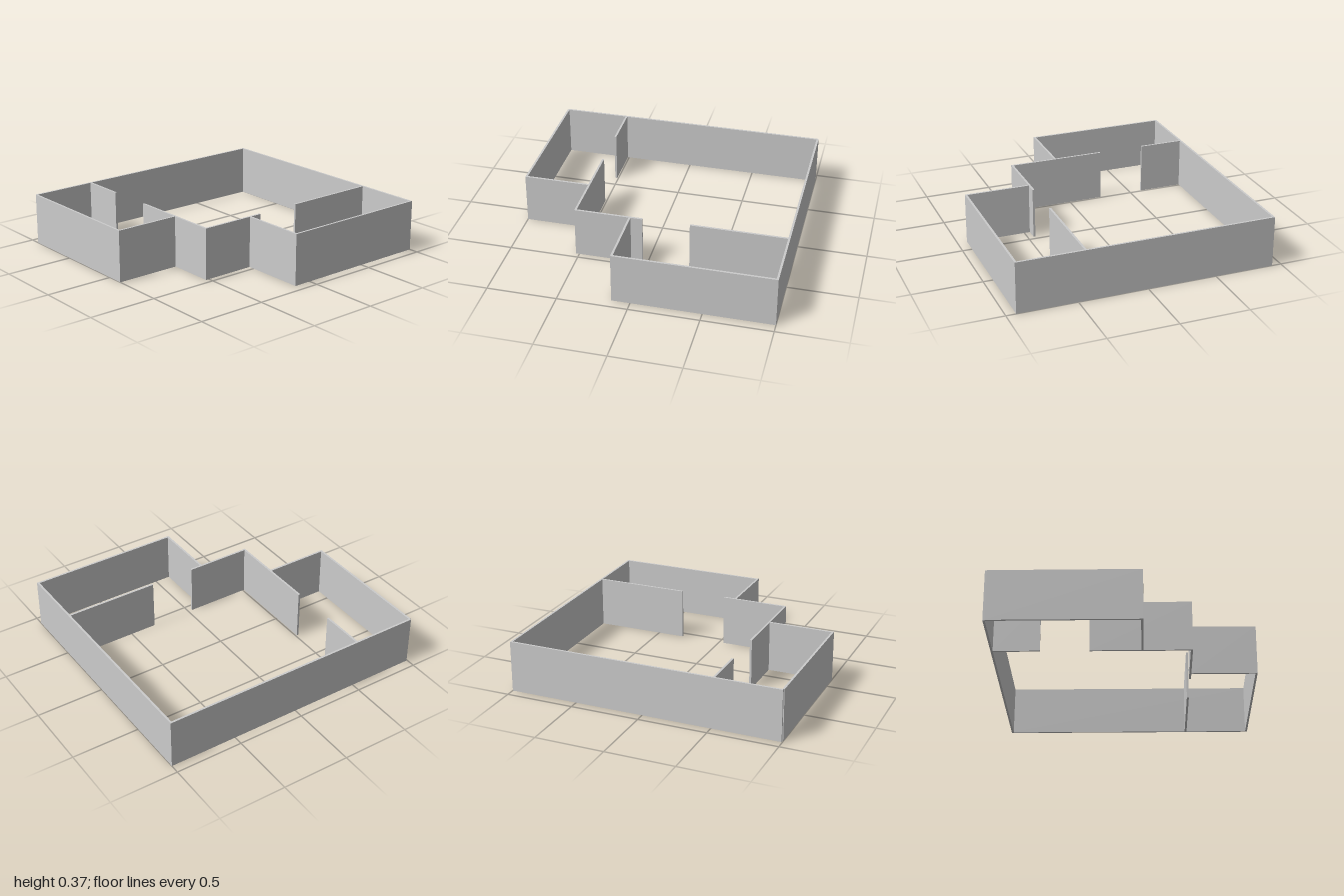
import * as THREE from 'three';

const HEIGHT = 0.37;

// Each wall: name, x from, x to, z from, z to
const WALLS = [
  ['backWall', -0.932, 0.93, -1, -0.985],
  ['rightWall', -0.932, -0.917, -0.985, 0.994],
  ['frontWall', -0.917, 0.12, 0.985, 1],
  ['frontRoomSideWall', 0.105, 0.12, 0.525, 0.985],
  ['frontPartitionShort', -0.917, -0.593, 0.51, 0.525],
  ['frontPartitionLong', -0.253, 0.458, 0.51, 0.525],
  ['innerCornerWall', 0.443, 0.458, 0.034, 0.51],
  ['sideRoomFrontWall', 0.458, 0.93, 0.117, 0.132],
  ['leftWall', 0.915, 0.93, -0.985, 0.117],
  ['sidePartition', 0.437, 0.452, -0.985, -0.303],
];

export function createModel() {
  const group = new THREE.Group();
  group.name = 'floorPlanWalls';
  const material = new THREE.MeshStandardMaterial({ color: 0xcccccc });

  // Upright slabs standing on the ground, with door gaps between partitions
  for (const [name, x0, x1, z0, z1] of WALLS) {
    const wall = new THREE.Mesh(new THREE.BoxGeometry(x1 - x0, HEIGHT, z1 - z0), material);
    wall.name = name;
    wall.position.set((x0 + x1) / 2, HEIGHT / 2, (z0 + z1) / 2);
    group.add(wall);
  }
  return group;
}
